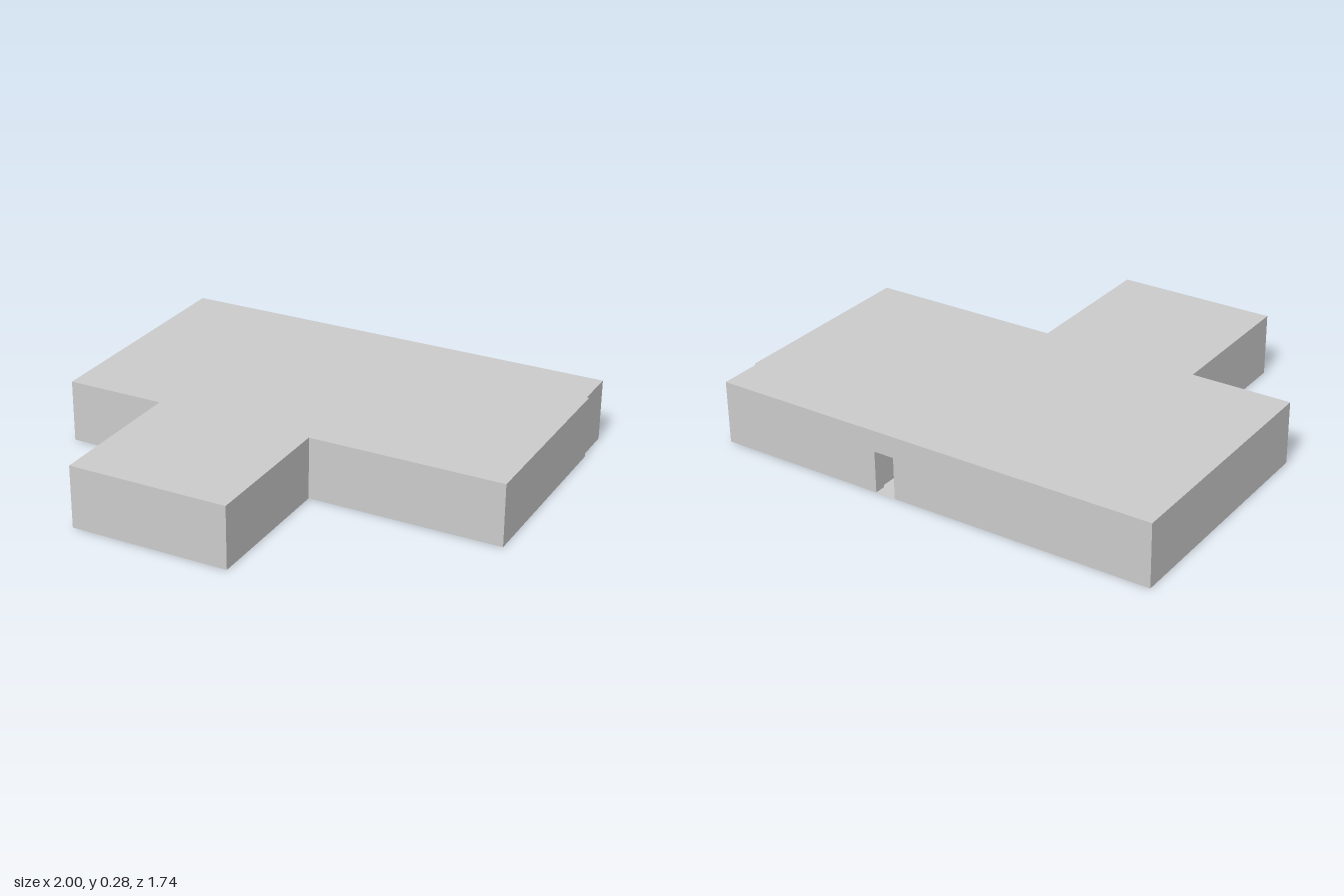
import * as THREE from 'three';

const H = 0.275, DOOR_H = 0.183, BACK = -0.873;
const DOOR = [0.24, 0.15];

// Plan outline as [x, z], counter-clockwise seen from above
const OUTLINE = [
  [-1, 0.21], [-0.56, 0.21], [-0.56, 0.87], [0.145, 0.87], [0.145, 0.21],
  [1, 0.21], [1, -0.68], [0.99, -0.68], [0.99, BACK], [-1, BACK],
];

// Passage behind the doorway, from one jamb round to the other
const PASSAGE = [
  [DOOR[0], BACK], [DOOR[0], BACK + 0.05], [DOOR[0] + 0.01, BACK + 0.05],
  [DOOR[0] + 0.01, -0.6], [DOOR[1], -0.6], [DOOR[1], BACK],
];

const material = new THREE.MeshStandardMaterial({
  color: 0xcccccc, flatShading: true, side: THREE.DoubleSide,
});

const shapeOf = (points) => new THREE.Shape(points.map(([x, y]) => new THREE.Vector2(x, y)));

function mesh(points, name) {
  const m = new THREE.Mesh(new THREE.ShapeGeometry(shapeOf(points)), material);
  m.name = name;
  return m;
}

// Upright panel from plan point a to plan point b, with an optional door notch
function wall(a, b, height, name, notch) {
  const dx = b[0] - a[0], dz = b[1] - a[1], w = Math.hypot(dx, dz);
  const points = [[0, 0]];
  if (notch) {
    const [u, v] = notch;
    points.push([u, 0], [u, DOOR_H], [v, DOOR_H], [v, 0]);
  }
  points.push([w, 0], [w, height], [0, height]);
  const m = mesh(points, name);
  m.position.set(a[0], 0, a[1]);
  m.rotation.y = Math.atan2(-dz, dx);
  return m;
}

// Horizontal sheet over a plan outline, facing up or down
function slab(plan, y, up, name) {
  const m = mesh(plan.map(([x, z]) => [x, up ? -z : z]), name);
  m.rotation.x = up ? -Math.PI / 2 : Math.PI / 2;
  m.position.y = y;
  return m;
}

export function createModel() {
  const model = new THREE.Group();
  model.name = 'building';

  // Outer walls; the long back wall carries the doorway
  const walls = new THREE.Group();
  walls.name = 'outerWalls';
  OUTLINE.forEach((a, i) => {
    const b = OUTLINE[(i + 1) % OUTLINE.length];
    const isBack = a[1] === BACK && b[1] === BACK;
    const notch = isBack ? DOOR.map((x) => a[0] - x) : null;
    walls.add(wall(a, b, H, isBack ? 'backWall' : 'wall', notch));
  });
  model.add(walls);

  // Roof and floor
  model.add(slab(OUTLINE, H, true, 'roof'), slab(OUTLINE, 0, false, 'floor'));

  // Doorway jambs, passage walls and ceiling
  const doorway = new THREE.Group();
  doorway.name = 'doorway';
  for (let i = 0; i < PASSAGE.length - 1; i++) {
    doorway.add(wall(PASSAGE[i], PASSAGE[i + 1], DOOR_H, 'passageWall'));
  }
  doorway.add(slab(PASSAGE, DOOR_H, false, 'passageCeiling'));
  model.add(doorway);

  return model;
}
